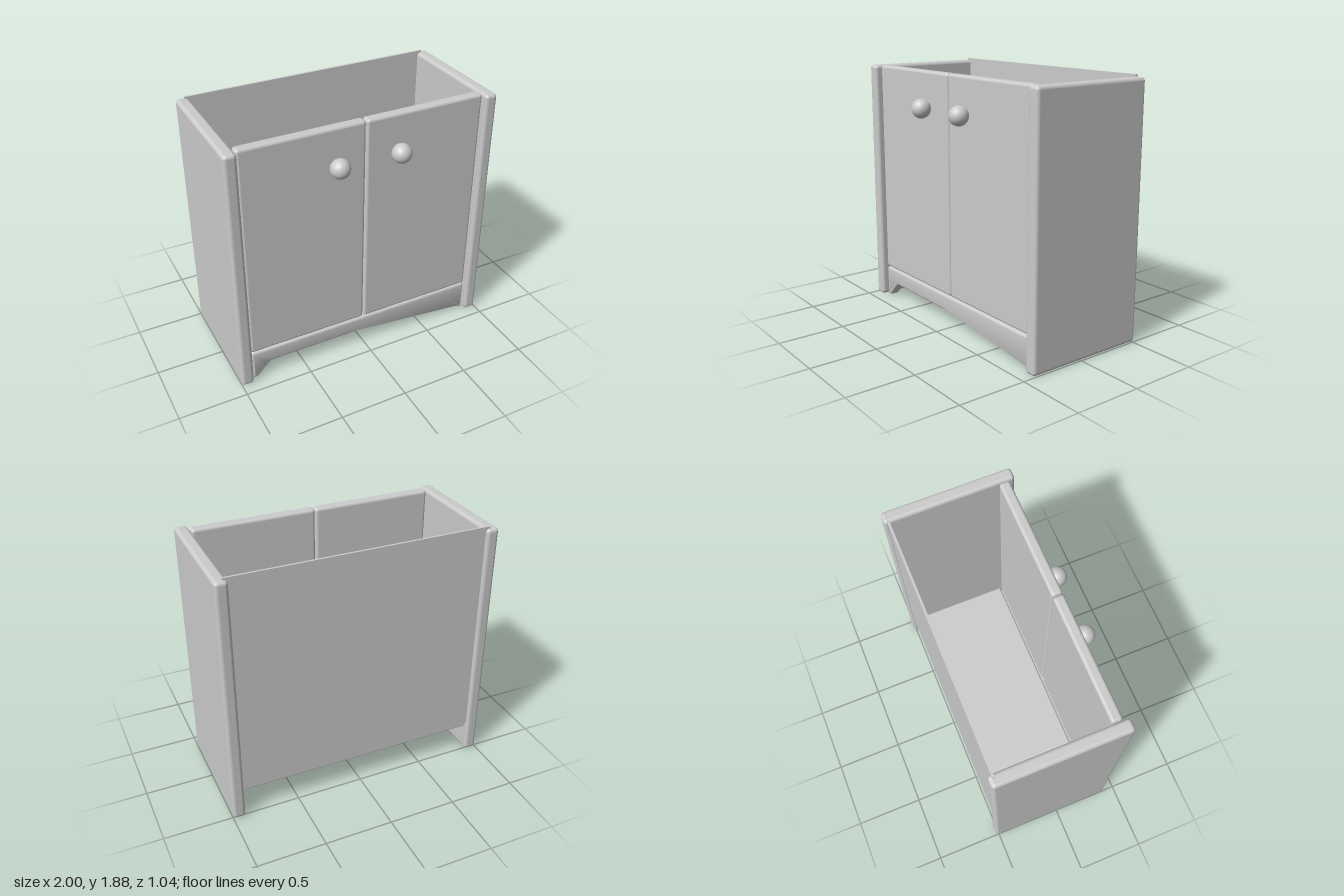
import * as THREE from 'three';
import { RoundedBoxGeometry } from 'three/addons/geometries/RoundedBoxGeometry.js';
import { toCreasedNormals } from 'three/addons/utils/BufferGeometryUtils.js';

const material = new THREE.MeshStandardMaterial({ color: 0xcccccc });

// Polygon whose corners are rounded by the third value of each [x, y, radius]
function roundedShape(corners) {
  const shape = new THREE.Shape();
  const n = corners.length;
  const at = (i) => new THREE.Vector2(corners[(i + n) % n][0], corners[(i + n) % n][1]);
  for (let i = 0; i < n; i++) {
    const p = at(i), r = corners[i][2];
    const a = at(i - 1).sub(p).setLength(r).add(p);
    const b = at(i + 1).sub(p).setLength(r).add(p);
    if (i === 0) shape.moveTo(a.x, a.y);
    else shape.lineTo(a.x, a.y);
    shape.quadraticCurveTo(p.x, p.y, b.x, b.y);
  }
  shape.closePath();
  return shape;
}

export function createModel() {
  const group = new THREE.Group();

  function add(name, geometry, x = 0, y = 0, z = 0) {
    const mesh = new THREE.Mesh(geometry, material);
    mesh.name = name;
    mesh.position.set(x, y, z);
    group.add(mesh);
  }

  // Rounded board given by its limits on each axis
  function board(name, [x0, x1], [y0, y1], [z0, z1], radius) {
    add(name, new RoundedBoxGeometry(x1 - x0, y1 - y0, z1 - z0, 4, radius),
      (x0 + x1) / 2, (y0 + y1) / 2, (z0 + z1) / 2);
  }

  // Side panels, doors and knobs, mirrored
  for (const [side, s] of [['left', 1], ['right', -1]]) {
    const span = (a, b) => (s > 0 ? [a, b] : [-b, -a]);
    board(side + 'SidePanel', span(0.908, 1), [0, 1.865], [-0.52, 0.418], 0.026);
    board(side + 'Door', span(0.002, 0.905), [0.24, 1.865], [0.297, 0.375], 0.022);
    add(side + 'Knob', new THREE.SphereGeometry(0.07, 32, 20), s * 0.23, 1.605, 0.445);
  }

  // Thin back panel let into the sides, and the cabinet floor
  add('backPanel', new THREE.BoxGeometry(1.88, 1.64, 0.016), 0, 1.06, -0.488);
  board('floor', [-0.908, 0.908], [0.2, 0.24], [-0.48, 0.29], 0.012);

  // Skirt with two sloping feet
  const bevel = 0.022;
  const skirt = new THREE.ExtrudeGeometry(roundedShape([
    [-0.905, 0, 0.03], [-0.86, 0, 0.02], [-0.755, 0.11, 0.04], [0.755, 0.11, 0.04],
    [0.86, 0, 0.02], [0.905, 0, 0.03], [0.905, 0.236, 0.03], [-0.905, 0.236, 0.03],
  ].map(([x, y, r]) => [x, y, Math.min(r, 0.022)])), {
    depth: 0.078 - 2 * bevel, curveSegments: 5, bevelEnabled: true,
    bevelThickness: bevel, bevelSize: bevel, bevelOffset: -bevel, bevelSegments: 4,
  });
  add('skirt', toCreasedNormals(skirt, 0.7), 0, 0, 0.297 + bevel);

  return group;
}
